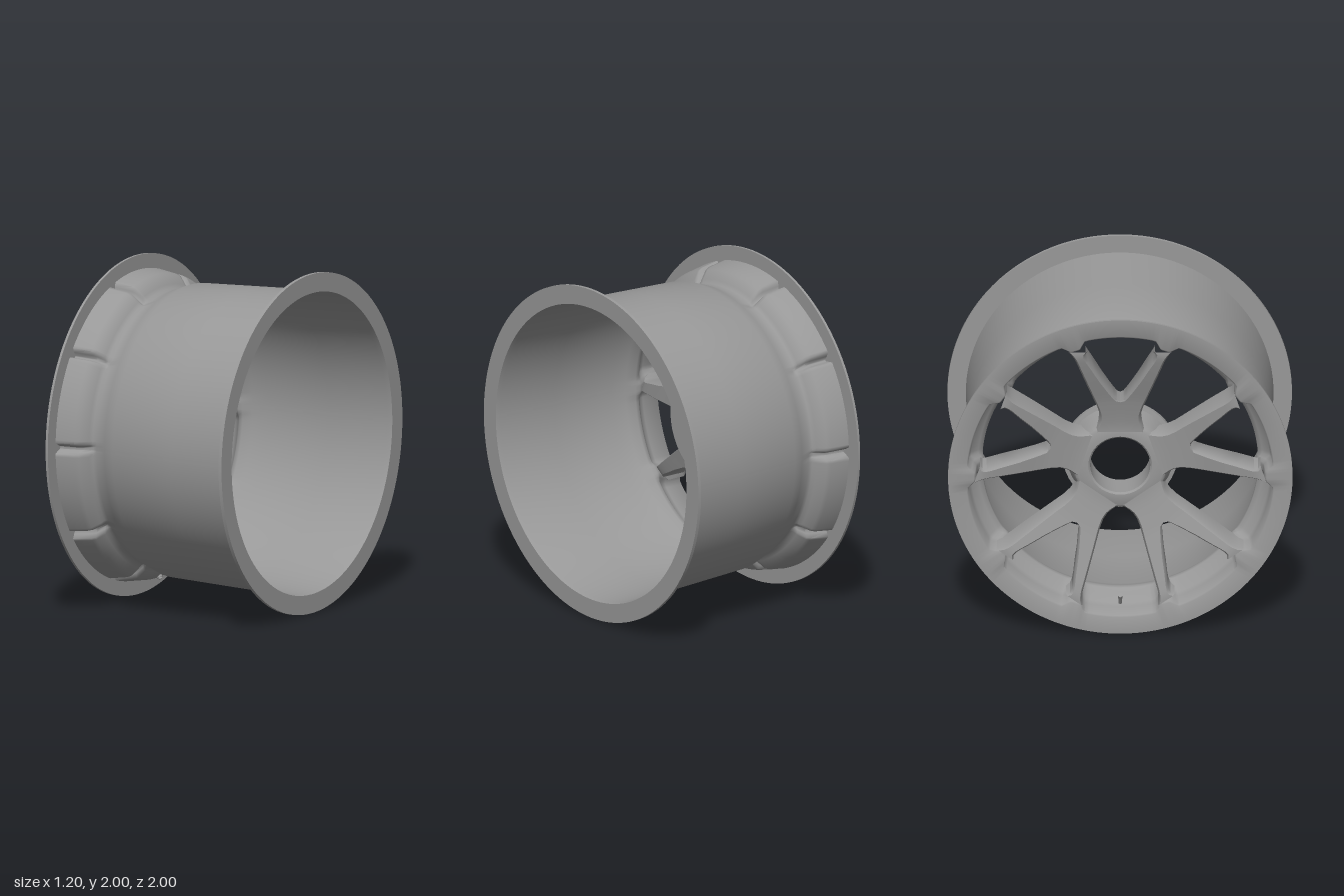
import * as THREE from 'three';
import { toCreasedNormals } from 'three/addons/utils/BufferGeometryUtils.js';

const material = new THREE.MeshStandardMaterial({ color: 0x989898 });
const smooth = (v, a, b) => THREE.MathUtils.smoothstep(v, a, b);

// Skin a grid of points: rows x cols, closed around the columns
function skin(rows, cols, point, closeRows, flip, crease) {
  const pos = [], index = [];
  for (let i = 0; i < rows; i++) for (let j = 0; j < cols; j++) pos.push(...point(i, j));
  for (let i = 0; i < (closeRows ? rows : rows - 1); i++) {
    for (let j = 0; j < cols; j++) {
      const i2 = (i + 1) % rows, j2 = (j + 1) % cols;
      const a = i * cols + j, b = i2 * cols + j, c = i2 * cols + j2, d = i * cols + j2;
      if (flip) index.push(a, d, b, b, d, c);
      else index.push(a, b, d, b, c, d);
    }
  }
  const g = new THREE.BufferGeometry();
  g.setAttribute('position', new THREE.Float32BufferAttribute(pos, 3));
  g.setIndex(index);
  return toCreasedNormals(g, crease);
}

function add(parent, geometry, name) {
  const mesh = new THREE.Mesh(geometry, material);
  mesh.name = name;
  parent.add(mesh);
  return mesh;
}

// Rim section as [x, radius between spokes, radius at a spoke]
const outside = [
  [-0.595, 0.888, 0.842], [-0.6, 0.896, 0.85], [-0.6, 1, 1], [-0.585, 1, 1],
  [-0.585, 0.914, 0.862], [-0.47, 0.896, 0.848], [-0.445, 0.885, 0.838],
  [-0.405, 0.838, 0.808], [-0.393, 0.814, 0.802], [-0.37, 0.808, 0.808],
  [-0.3, 0.835, 0.835], [-0.23, 0.86, 0.86], [0.18, 0.877, 0.877], [0.58, 0.893, 0.893],
  [0.58, 1, 1], [0.6, 1, 1], [0.6, 0.888, 0.888],
];
const inside = [
  [0.57, 0.882, 0.882], [0.18, 0.866, 0.866], [-0.23, 0.849, 0.849], [-0.31, 0.82, 0.82],
  [-0.365, 0.8, 0.796], [-0.39, 0.803, 0.788], [-0.41, 0.828, 0.794],
  [-0.45, 0.87, 0.822], [-0.48, 0.882, 0.832],
];

function rimGeometry() {
  const section = [...outside, ...inside], perSpoke = 24, step = Math.PI / 5;
  return skin(perSpoke * 10, section.length, (i, j) => {
    // Samples crowd together at each spoke, where the narrow grooves run
    const t = (2 * (i % perSpoke)) / perSpoke - 1;
    const offset = (step / 2) * t * Math.abs(t);
    const phi = (Math.floor(i / perSpoke) + 0.5) * step + offset;
    const arc = Math.abs(offset) * 0.87;
    const isInner = j < 2 || j >= outside.length;
    const k = isInner ? smooth(arc, 0.022, 0.075) : smooth(arc, 0.004, 0.03);
    const [x, pocket, groove] = section[j];
    const r = groove + (pocket - groove) * k;
    return [x, r * Math.cos(phi), r * Math.sin(phi)];
  }, true, false, 1.1);
}

// Spoke stations: [distance out, inner edge, outer edge, front x, back x]
const stations = [
  [0.2, 0, 0.147, -0.44, -0.3], [0.23, 0, 0.139, -0.442, -0.3],
  [0.26, 0, 0.127, -0.446, -0.302], [0.29, 0, 0.119, -0.452, -0.305],
  [0.33, 0, 0.119, -0.461, -0.31], [0.38, 0, 0.132, -0.474, -0.325],
  [0.425, 0, 0.149, -0.486, -0.335], [0.435, 0.018, 0.153, -0.489, -0.337],
  [0.46, 0.036, 0.162, -0.497, -0.342], [0.5, 0.062, 0.177, -0.511, -0.35],
  [0.58, 0.11, 0.206, -0.539, -0.365], [0.66, 0.152, 0.235, -0.566, -0.382],
  [0.72, 0.186, 0.256, -0.585, -0.396], [0.75, 0.2, 0.27, -0.594, -0.408],
  [0.775, 0.203, 0.286, -0.598, -0.43], [0.795, 0.188, 0.308, -0.598, -0.465],
];

function spokeGeometry(side) {
  return skin(stations.length, 8, (i, j) => {
    const [u, inner, outer, front, back] = stations[i];
    const b = 0.012, c = 0.004;
    const ring = [
      [front, inner + Math.min(b, inner)], [front, outer - b],
      [front + 0.018, outer], [back - c, outer],
      [back, outer - c], [back, inner + Math.min(c, inner)],
      [back - c, inner], [front + 0.018, inner],
    ];
    return [ring[j][0], u, side * ring[j][1]];
  }, false, side > 0, 0.7);
}

export function createModel() {
  const wheel = new THREE.Group();
  wheel.name = 'wheelRim';
  const body = new THREE.Group();
  body.name = 'wheelBody';
  body.position.y = 1;
  wheel.add(body);

  // Barrel, both flanges and the pocketed lip
  add(body, rimGeometry(), 'rim');

  // Five V-shaped spoke pairs
  const left = spokeGeometry(1), right = spokeGeometry(-1);
  for (let k = 0; k < 5; k++) {
    const pair = new THREE.Group();
    pair.name = 'spokePair';
    pair.rotation.x = (k * Math.PI * 2) / 5;
    add(pair, left, 'spoke');
    add(pair, right, 'spoke');
    body.add(pair);
  }

  // Flared hub with an open bore; lathe axis turned onto x
  const hubProfile = [
    [0.175, -0.43], [0.185, -0.441], [0.25, -0.441], [0.268, -0.43], [0.285, -0.38], [0.3, -0.33],
    [0.312, -0.29], [0.335, -0.285], [0.335, -0.255], [0.175, -0.255], [0.175, -0.43],
  ].map(([r, x]) => new THREE.Vector2(r, x));
  const hubGeometry = new THREE.LatheGeometry(hubProfile, 40);
  hubGeometry.deleteAttribute('normal');
  hubGeometry.deleteAttribute('uv');
  const hub = add(body, toCreasedNormals(hubGeometry, 0.7), 'hub');
  hub.rotation.z = -Math.PI / 2;

  // Valve stem at the bottom of the lip
  const valve = new THREE.Group();
  valve.name = 'valve';
  valve.position.set(-0.46, -0.855, 0);
  valve.rotation.z = 0.6;
  add(valve, new THREE.CylinderGeometry(0.009, 0.012, 0.1, 12), 'valveStem');
  add(valve, new THREE.CylinderGeometry(0.018, 0.018, 0.02, 12), 'valveCollar').position.y = -0.03;
  add(valve, new THREE.CylinderGeometry(0.013, 0.013, 0.025, 12), 'valveCap').position.y = 0.05;
  body.add(valve);

  return wheel;
}
